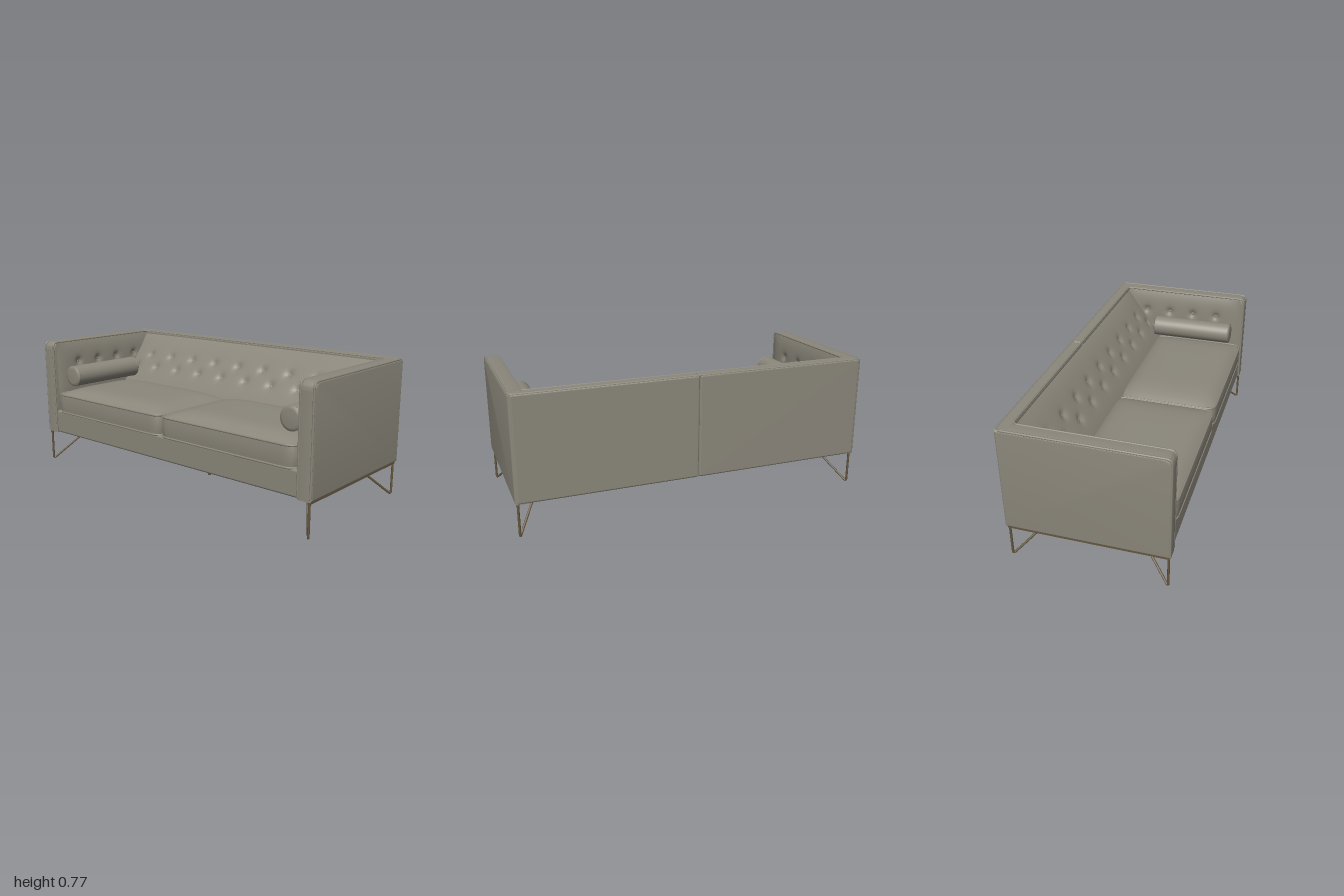
import * as THREE from 'three';
import { toCreasedNormals } from 'three/addons/utils/BufferGeometryUtils.js';
import { RoundedBoxGeometry } from 'three/addons/geometries/RoundedBoxGeometry.js';

const V = (x, y, z) => new THREE.Vector3(x, y, z);

// Polyline with rounded corners
function roundedPath(pts, r, closed = false) {
  const path = new THREE.CurvePath();
  const n = pts.length;
  const toward = (a, b) => a.clone().add(b.clone().sub(a).setLength(r));
  let from = closed ? toward(pts[0], pts[1]) : pts[0];
  for (let i = 1; i < (closed ? n + 1 : n - 1); i++) {
    const corner = pts[i % n];
    const a = toward(corner, pts[i - 1]);
    const b = toward(corner, pts[(i + 1) % n]);
    path.add(new THREE.LineCurve3(from, a));
    path.add(new THREE.QuadraticBezierCurve3(a, corner, b));
    from = b;
  }
  if (!closed) path.add(new THREE.LineCurve3(from, pts[n - 1]));
  return path;
}

// Box cushion with rounded plan corners, crowned top and softly swollen sides
function cushionGeometry(w, h, d, r, crown) {
  const g = new THREE.BoxGeometry(w, h, d, 36, 6, 28);
  const p = g.attributes.position;
  for (let i = 0; i < p.count; i++) {
    let x = p.getX(i), y = p.getY(i), z = p.getZ(i);
    const u = Math.abs(2 * x / w), v = Math.abs(2 * z / d), t = 2 * y / h;
    const dx = Math.abs(x) - (w / 2 - r), dz = Math.abs(z) - (d / 2 - r);
    if (dx > 0 && dz > 0) {
      const k = Math.max(dx, dz) / Math.hypot(dx, dz);
      x = Math.sign(x) * (w / 2 - r + dx * k);
      z = Math.sign(z) * (d / 2 - r + dz * k);
    }
    const dome = (1 - u ** 6) * (1 - v ** 6);
    y += dome * (t > 0 ? crown * t : 0.01 * t);
    const swell = 1 + 0.012 * (1 - t * t);
    p.setXYZ(i, x * swell, y, z * swell);
  }
  g.computeVertexNormals();
  return g;
}

// Padded panel between four corners, dimpled at each button (u, v)
function tuftedPanel(bl, br, tl, tr, buttons, bulge) {
  const at = (u, v) => bl.clone().lerp(br, u).lerp(tl.clone().lerp(tr, u), v);
  const normal = br.clone().sub(bl).cross(tl.clone().sub(bl)).normalize();
  const pits = buttons.map(([u, v]) => at(u, v));
  const g = new THREE.PlaneGeometry(1, 1, 150, 36);
  const p = g.attributes.position;
  const point = (u, v) => {
    const q = at(u, v);
    let off = bulge * (1 - Math.abs(2 * u - 1) ** 10) * (1 - Math.abs(2 * v - 1) ** 4);
    for (const b of pits) {
      const s = q.distanceTo(b);
      off -= 0.014 * Math.exp(-((s / 0.022) ** 2)) + 0.003 * Math.exp(-((s / 0.05) ** 2));
    }
    return q.addScaledVector(normal, off);
  };
  for (let i = 0; i < p.count; i++) {
    const q = point(p.getX(i) + 0.5, p.getY(i) + 0.5);
    p.setXYZ(i, q.x, q.y, q.z);
  }
  g.computeVertexNormals();
  return { geometry: g, spots: buttons.map(([u, v]) => point(u, v)), normal };
}

export function createModel() {
  const root = new THREE.Group();
  root.name = 'sofa';
  const fabric = new THREE.MeshStandardMaterial({ name: 'greyFabric', color: 0x8b877b });
  const metal = new THREE.MeshStandardMaterial({ name: 'bronzeMetal', color: 0x65563f });

  const add = (name, geometry, material, x = 0, y = 0, z = 0) => {
    const m = new THREE.Mesh(geometry, material);
    m.name = name;
    m.position.set(x, y, z);
    root.add(m);
    return m;
  };
  const tube = (name, path, r, material, segs = 160, closed = false) =>
    add(name, new THREE.TubeGeometry(path, segs, r, 8, closed), material);

  // Base under the seat
  add('base', new RoundedBoxGeometry(1.96, 0.14, 0.84, 3, 0.012), fabric, 0, 0.26, -0.005);
  add('seatDeck', new THREE.BoxGeometry(1.82, 0.12, 0.5), fabric, 0, 0.36, -0.13);

  // Arm side profile, rounded at the top front
  const bev = 0.014, zb = -0.432 + bev, zf = 0.425 - bev, y0 = 0.19 + bev, y1 = 0.762 - bev;
  const side = new THREE.Shape();
  side.moveTo(zb, y0);
  side.lineTo(zf, y0);
  side.lineTo(zf, y1 - 0.035);
  side.quadraticCurveTo(zf, y1, zf - 0.035, y1);
  side.lineTo(zb, y1);
  side.closePath();
  const armW = 0.086;
  const armGeo = toCreasedNormals(new THREE.ExtrudeGeometry(side, {
    depth: armW - 2 * bev, bevelEnabled: true, bevelSize: bev, bevelThickness: bev,
    bevelSegments: 4, curveSegments: 10,
  }).translate(0, 0, -(armW / 2 - bev)).rotateY(-Math.PI / 2), 0.6);

  // Back shell in two halves that meet at a centre seam
  for (const s of [-1, 1]) {
    const label = s > 0 ? 'left' : 'right';
    add(label + 'BackShell', new RoundedBoxGeometry(0.985, 0.573, 0.07, 4, 0.012), fabric, s * 0.4925, 0.4765, -0.4);
    add(label + 'Arm', armGeo, fabric, s * 0.952, 0, 0);
  }

  // Piping along the outer and inner edges of arms and back
  for (const [name, x, z] of [['outerPiping', 0.988, -0.427], ['innerPiping', 0.915, -0.372]]) {
    tube(name, roundedPath([
      V(-x, 0.2, 0.421), V(-x, 0.758, 0.421), V(-x, 0.76, z),
      V(x, 0.76, z), V(x, 0.758, 0.421), V(x, 0.2, 0.421),
    ], 0.03), 0.006, fabric, 420);
  }

  // Tufted inner back and arms
  const backButtons = [];
  for (let i = 0; i < 9; i++) backButtons.push([0.5 + (i - 4) * 0.103, 0.62]);
  for (let i = 0; i < 10; i++) backButtons.push([0.5 + (i - 4.5) * 0.103, 0.42]);
  const armButtons = [];
  for (let i = 0; i < 4; i++) {
    armButtons.push([0.2 + i * 0.2, 0.66]);
    armButtons.push([0.1 + i * 0.2, 0.42]);
  }
  const mirror = armButtons.map(([u, v]) => [1 - u, v]);
  const panels = {
    innerBack: tuftedPanel(V(-0.915, 0.4, -0.11), V(0.915, 0.4, -0.11),
      V(-0.915, 0.75, -0.37), V(0.915, 0.75, -0.37), backButtons, 0.016),
    innerRightArm: tuftedPanel(V(-0.9, 0.38, 0.4), V(-0.9, 0.38, -0.39),
      V(-0.908, 0.752, 0.4), V(-0.908, 0.752, -0.39), mirror, 0.016),
    innerLeftArm: tuftedPanel(V(0.9, 0.38, -0.39), V(0.9, 0.38, 0.4),
      V(0.908, 0.752, -0.39), V(0.908, 0.752, 0.4), armButtons, 0.016),
  };
  const buttonGeo = new THREE.SphereGeometry(0.01, 12, 8).scale(1, 1, 0.45);
  for (const [name, panel] of Object.entries(panels)) {
    add(name, panel.geometry, fabric);
    for (const q of panel.spots) {
      const b = add(name + 'Button', buttonGeo, fabric, q.x, q.y, q.z);
      b.quaternion.setFromUnitVectors(V(0, 0, 1), panel.normal);
    }
  }

  // Seat cushions with piped edges, and bolsters
  const cw = 0.882, cd = 0.575, cz = 0.133;
  const cushionGeo = cushionGeometry(cw, 0.11, cd, 0.05, 0.047);
  const capGeo = new THREE.TorusGeometry(0.06, 0.004, 8, 36);
  const bolsterProfile = [[0, -0.257], [0.045, -0.256], [0.059, -0.252], [0.063, -0.245],
    [0.063, 0.245], [0.059, 0.252], [0.045, 0.256], [0, 0.257]].map(([r, y]) => new THREE.Vector2(r, y));
  const bolsterGeo = new THREE.LatheGeometry(bolsterProfile, 36).rotateX(Math.PI / 2);
  for (const s of [-1, 1]) {
    const label = s > 0 ? 'left' : 'right';
    const cx = s * 0.447;
    add(label + 'SeatCushion', cushionGeo, fabric, cx, 0.385, cz);
    for (const y of [0.33, 0.44]) {
      const [a, b] = [cw / 2, cd / 2];
      tube(label + 'CushionPiping', roundedPath([
        V(cx - a, y, cz - b), V(cx + a, y, cz - b), V(cx + a, y, cz + b), V(cx - a, y, cz + b),
      ], 0.06, true), 0.006, fabric, 200, true);
    }
    add(label + 'Bolster', bolsterGeo, fabric, s * 0.818, 0.552, 0.103);
    for (const z of [-0.142, 0.348]) add(label + 'BolsterPiping', capGeo, fabric, s * 0.818, 0.552, z);
  }

  // Bent rod legs with a rail under each side
  for (const sx of [-1, 1]) {
    const rail = new THREE.BoxGeometry(0.014, 0.012, 0.84);
    add('sideRail', rail, metal, sx * 0.978, 0.184, 0);
    for (const sz of [-1, 1]) {
      tube((sz > 0 ? 'front' : 'back') + 'Leg', roundedPath([
        V(sx * 0.978, 0.19, sz * 0.413), V(sx * 0.978, 0.001, sz * 0.413), V(sx * 0.84, 0.192, sz * 0.22),
      ], 0.016), 0.0065, metal, 70);
    }
  }

  // Centre support leg with a small foot
  add('centreLeg', new THREE.CylinderGeometry(0.012, 0.012, 0.18, 20), metal, 0, 0.102, 0);
  add('centreFoot', new THREE.CylinderGeometry(0.008, 0.008, 0.014, 16), metal, 0, 0.007, 0);

  return root;
}
